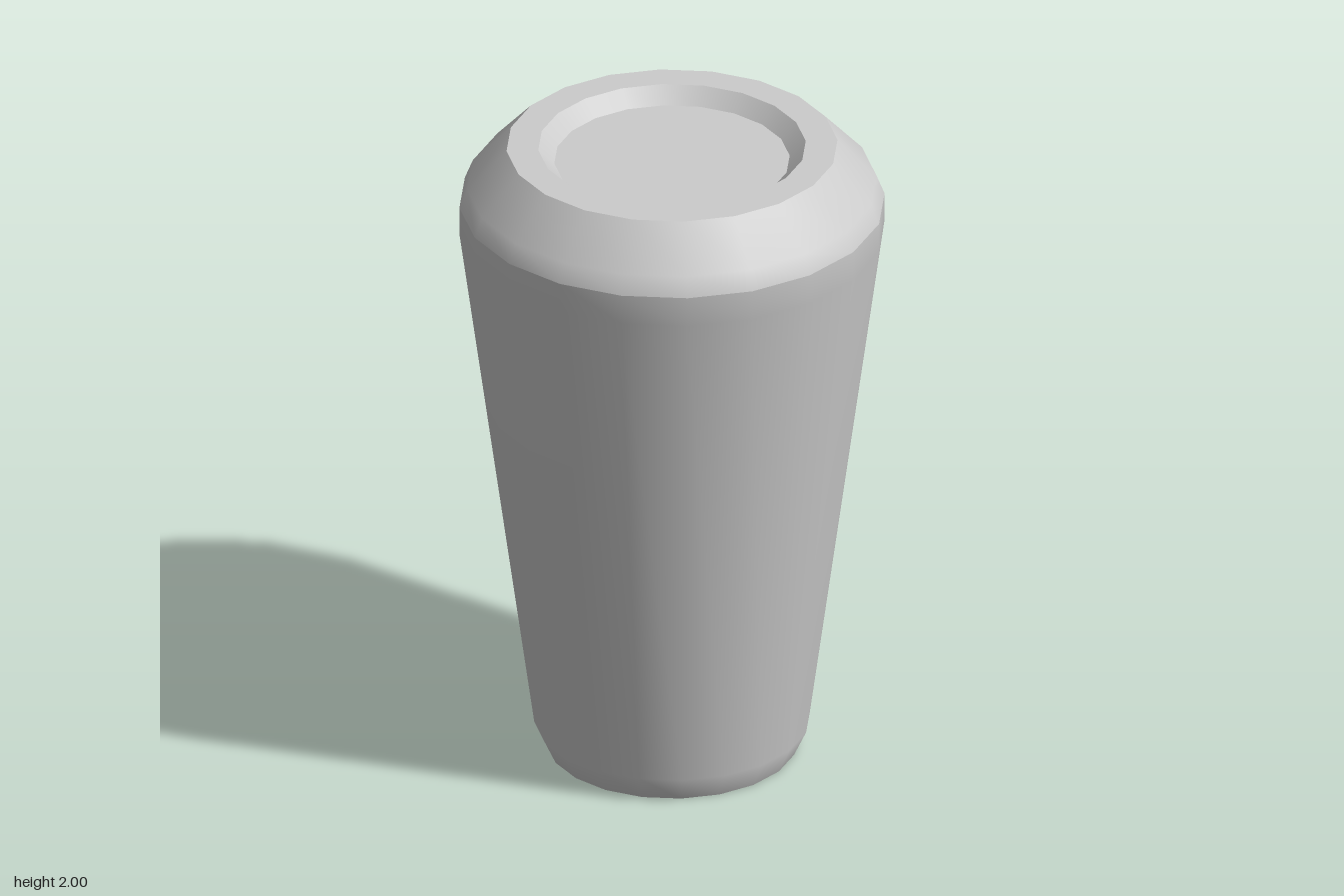
import * as THREE from 'three';

const SIDES = 20;

// Closed outline from bottom centre to top centre, split wherever the surface has a hard crease
const SECTIONS = {
  bottomRecessFloor: [[0, 0.03], [0.305, 0.03]],
  bottomRecessWall: [[0.305, 0.03], [0.36, 0]],
  bottomRim: [[0.36, 0], [0.375, 0]],
  taperedBody: [[0.375, 0], [0.412, 0.08], [0.635, 1.72], [0.636, 1.815]],
  shoulder: [[0.636, 1.815], [0.612, 1.875], [0.495, 2]],
  topRim: [[0.495, 2], [0.4, 2]],
  topRecessWall: [[0.4, 2], [0.352, 1.953]],
  topRecessFloor: [[0.352, 1.953], [0, 1.953]],
};

export function createModel() {
  const group = new THREE.Group();
  group.name = 'taperedKnob';
  const material = new THREE.MeshStandardMaterial({ color: 0xcccccc });

  for (const [name, profile] of Object.entries(SECTIONS)) {
    const points = profile.map(([r, y]) => new THREE.Vector2(r, y));
    const mesh = new THREE.Mesh(new THREE.LatheGeometry(points, SIDES), material);
    mesh.name = name;
    group.add(mesh);
  }
  return group;
}
